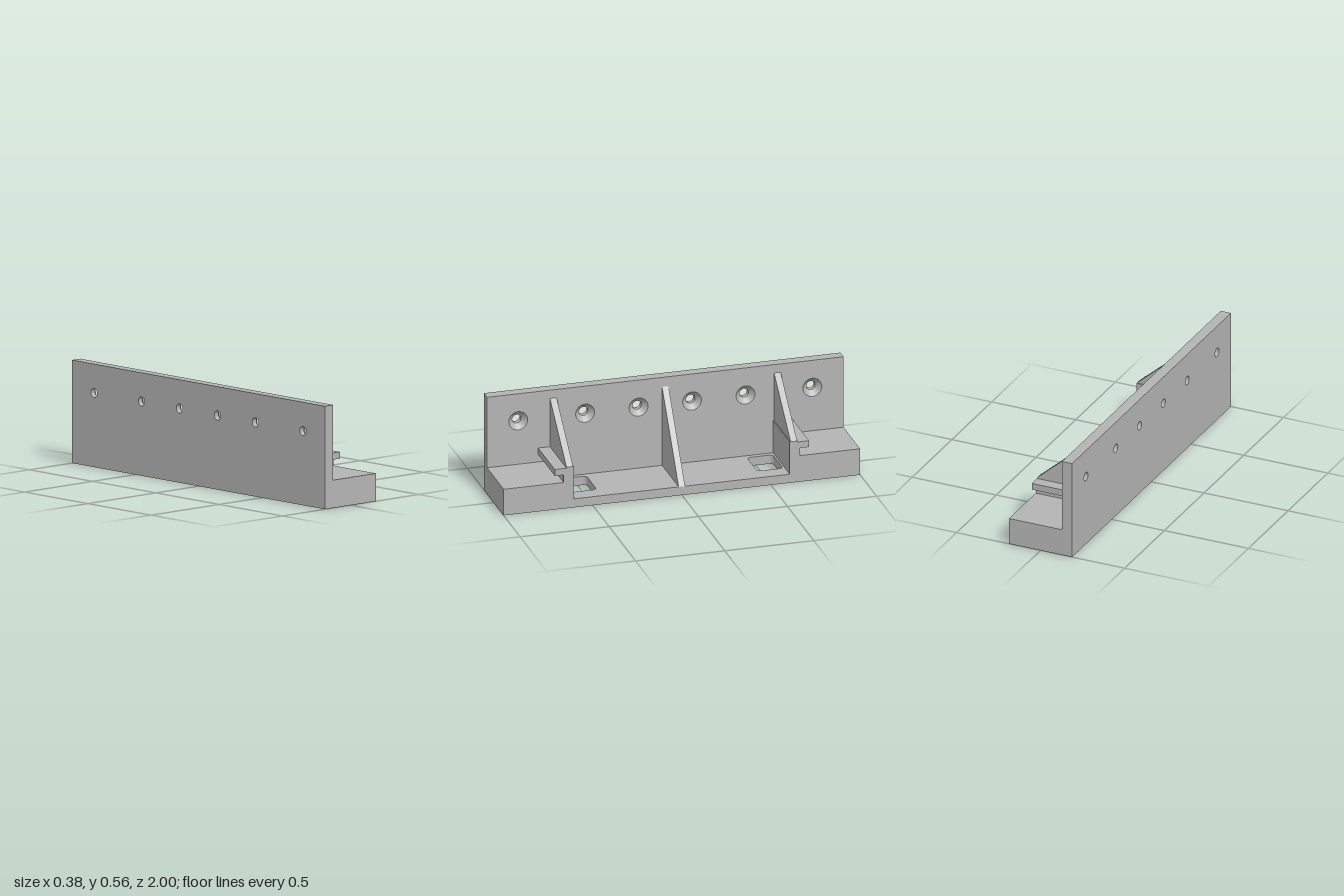
import * as THREE from 'three';
import { toCreasedNormals } from 'three/addons/utils/BufferGeometryUtils.js';

const BACK = -0.1875, FACE = -0.127, FRONT = 0.1875;

export function createModel() {
  const group = new THREE.Group();
  const grey = new THREE.MeshStandardMaterial({ color: 0xb4b4b4 });
  grey.name = 'grey';

  const add = (name, geometry) => {
    const mesh = new THREE.Mesh(toCreasedNormals(geometry, 0.6), grey);
    mesh.name = name;
    group.add(mesh);
    return mesh;
  };
  const polygon = (points) => new THREE.Shape(points.map(([a, b]) => new THREE.Vector2(a, b)));
  const extrude = (shape, depth) =>
    new THREE.ExtrudeGeometry(shape, { depth, bevelEnabled: false, curveSegments: 16 });
  // Extrude a (z, y) profile along x
  const alongX = (shape, x0, x1) => extrude(shape, x1 - x0).rotateY(Math.PI / 2).translate(x0, 0, 0);

  // Back plate, with openings filled by the countersunk rings
  const holeR = 0.025, sinkR = 0.053, holeY = 0.405;
  const holeZ = [-0.825, -0.45, -0.15, 0.15, 0.45, 0.825];
  const plate = polygon([[-1, 0], [1, 0], [1, 0.5625], [-1, 0.5625]]);
  for (const z of holeZ) {
    plate.holes.push(new THREE.Path().absarc(z, holeY, sinkR, 0, Math.PI * 2, true));
  }
  add('backPlate', alongX(plate, BACK, FACE));

  // Countersunk screw holes: cone, bore and flush back ring
  const sink = [[sinkR, FACE], [holeR, FACE - 0.03], [holeR, BACK], [sinkR, BACK]];
  for (const z of holeZ) {
    const ring = new THREE.LatheGeometry(sink.map(([r, y]) => new THREE.Vector2(r, y)), 32);
    add('screwHole', ring.rotateZ(-Math.PI / 2).translate(0, holeY, z));
  }

  // Floor with two rounded slots
  const floor = polygon([[FACE, -0.605], [FRONT, -0.605], [FRONT, 0.605], [FACE, 0.605]]);
  const roundedSlot = (x0, x1, y0, y1, r) => {
    const p = new THREE.Path();
    p.absarc(x1 - r, y1 - r, r, 0, Math.PI / 2);
    p.absarc(x0 + r, y1 - r, r, Math.PI / 2, Math.PI);
    p.absarc(x0 + r, y0 + r, r, Math.PI, Math.PI * 1.5);
    p.absarc(x1 - r, y0 + r, r, Math.PI * 1.5, Math.PI * 2);
    p.closePath();
    return p;
  };
  floor.holes.push(roundedSlot(-0.1, 0.095, 0.45, 0.595, 0.025));
  floor.holes.push(roundedSlot(-0.1, 0.095, -0.595, -0.45, 0.025));
  add('floor', extrude(floor, 0.05).rotateX(-Math.PI / 2));

  // End blocks, each with an upright wall and an overhanging lip
  const block = [
    [0.605, 0], [1, 0], [1, 0.152], [0.663, 0.152], [0.663, 0.196],
    [0.713, 0.196], [0.713, 0.233], [0.647, 0.233], [0.647, 0.238], [0.605, 0.238],
  ];
  for (const s of [-1, 1]) {
    add('endBlock', alongX(polygon(block.map(([z, y]) => [s * z, y])), FACE, FRONT));

    // Sloping gusset on top of the wall
    const gusset = polygon([[FACE, 0.23], [FRONT, 0.23], [FRONT, 0.239], [FACE, 0.514]]);
    add('sideGusset', extrude(gusset, 0.037).translate(0, 0, s * 0.6285 - 0.0185));
  }

  // Middle gusset down to the floor
  const middle = polygon([[FACE, 0.05], [FRONT, 0.05], [FACE, 0.507]]);
  add('middleGusset', extrude(middle, 0.036).translate(0, 0, -0.018));

  return group;
}
